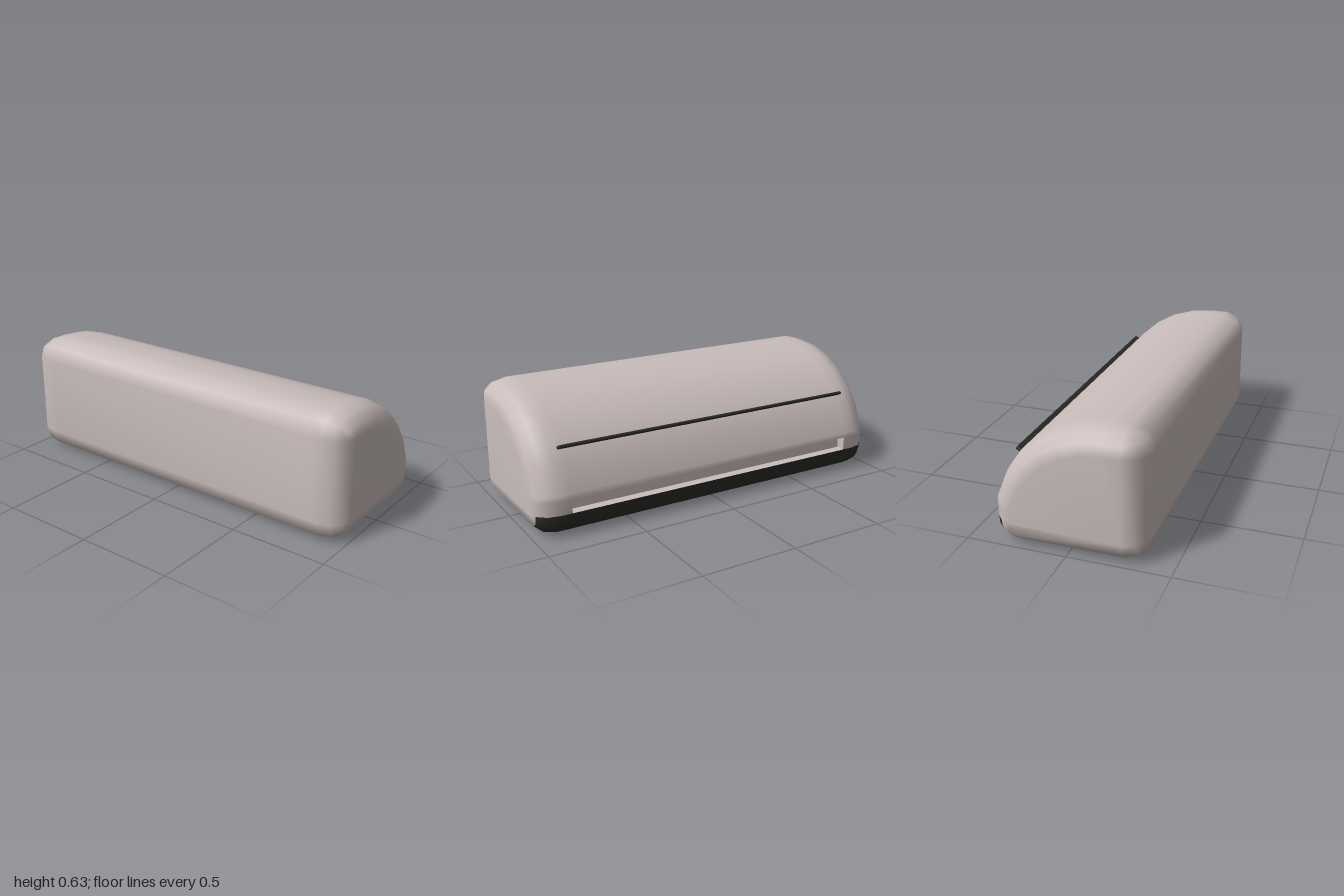
import * as THREE from 'three';
import { mergeVertices } from 'three/addons/utils/BufferGeometryUtils.js';
import { RoundedBoxGeometry } from 'three/addons/geometries/RoundedBoxGeometry.js';

// Cross-section, walked front-bottom -> back -> top: [z, y, core z, core y].
// The core point is where the same point lands on the flat end face.
const PROFILE = [
  [0.375, 0.11, 0.265, 0.11], [0.345, 0.03, 0.265, 0.11], [0.265, 0, 0.265, 0.11],
  [-0.27, 0, -0.27, 0.11], [-0.305, 0.01, -0.27, 0.11], [-0.345, 0.035, -0.27, 0.11],
  [-0.365, 0.07, -0.27, 0.11], [-0.372, 0.12, -0.27, 0.12],
  [-0.372, 0.19, -0.27, 0.18], [-0.372, 0.22, -0.27, 0.2],
  [-0.32, 0.35, -0.225, 0.3], [-0.255, 0.445, -0.17, 0.375], [-0.16, 0.53, -0.1, 0.44],
  [-0.055, 0.59, -0.01, 0.49], [0.06, 0.625, 0.08, 0.52], [0.175, 0.635, 0.18, 0.53],
  [0.265, 0.635, 0.265, 0.53], [0.345, 0.605, 0.265, 0.53], [0.375, 0.53, 0.265, 0.53],
];
const SLOT_ROW = 7;          // profile segment opened for the air outlet
const TRIM_ROWS = [4, 6];    // profile segments painted dark
const SLOT_X = 0.82;

// Loft of the profile along x with rounded ends; group 0 = shell, group 1 = trim
function shellGeometry() {
  const half = [[SLOT_X, 1]];
  for (let k = 0; k <= 3; k++) {
    const a = (k * Math.PI) / 6;
    half.push([0.88 + 0.12 * Math.sin(a), Math.cos(a)]);
  }
  const stations = [...half.map(([x, t]) => [-x, t]).reverse(), ...half];
  const n = PROFILE.length, last = stations.length - 1;
  const positions = [], shell = [], trim = [];
  for (const [x, t] of stations) {
    for (const [z, y, cz, cy] of PROFILE) {
      positions.push(x, cy + (y - cy) * t, cz + (z - cz) * t);
    }
  }
  for (let s = 0; s < last; s++) {
    const middle = s === half.length - 1;
    for (let i = 0; i < n; i++) {
      if (middle && i === SLOT_ROW) continue;
      const j = (i + 1) % n;
      const a = s * n + i, b = s * n + j, c = b + n, d = a + n;
      const dark = i >= TRIM_ROWS[0] && i <= TRIM_ROWS[1] && s > 0 && s < last - 1;
      (dark ? trim : shell).push(a, b, c, a, c, d);
    }
  }
  // Flat end faces
  for (let i = 1; i < n - 1; i++) {
    shell.push(0, i + 1, i);
    shell.push(last * n, last * n + i, last * n + i + 1);
  }
  let geo = new THREE.BufferGeometry();
  geo.setAttribute('position', new THREE.Float32BufferAttribute(positions, 3));
  geo.setIndex([...shell, ...trim]);
  geo = mergeVertices(geo, 1e-4);
  geo.computeVertexNormals();
  geo.clearGroups();
  geo.addGroup(0, shell.length, 0);
  geo.addGroup(shell.length, trim.length, 1);
  return geo;
}

// Inward-facing open box behind the outlet
function recessGeometry(depth) {
  const geo = new THREE.BoxGeometry(SLOT_X * 2, 0.07, depth);
  const index = Array.from(geo.index.array).slice(0, 30); // drop the open -z side
  for (let i = 0; i < index.length; i += 3) {
    [index[i + 1], index[i + 2]] = [index[i + 2], index[i + 1]];
  }
  geo.setIndex(index);
  geo.clearGroups();
  geo.computeVertexNormals();
  return geo;
}

export function createModel() {
  const shellMat = new THREE.MeshStandardMaterial({ color: 0xc9bdbb });
  shellMat.name = 'warm grey shell';
  const darkMat = new THREE.MeshStandardMaterial({ color: 0x2b2c27 });
  darkMat.name = 'dark trim';

  const group = new THREE.Group();
  group.name = 'wallUnit';
  const add = (name, geo, mat) => {
    const mesh = new THREE.Mesh(geo, mat);
    mesh.name = name;
    group.add(mesh);
    return mesh;
  };

  // Housing with dark lower lip
  add('housing', shellGeometry(), [shellMat, darkMat]);

  // Air outlet recess
  const depth = 0.05;
  add('outletRecess', recessGeometry(depth), shellMat).position.set(0, 0.155, -0.372 + depth / 2);

  // Thin tilted strip across the curved face
  const strip = add('trimStrip', new RoundedBoxGeometry(1.69, 0.016, 0.05, 2, 0.007), darkMat);
  strip.position.set(0, 0.42, -0.278);
  strip.rotation.x = 0.5;

  return group;
}
